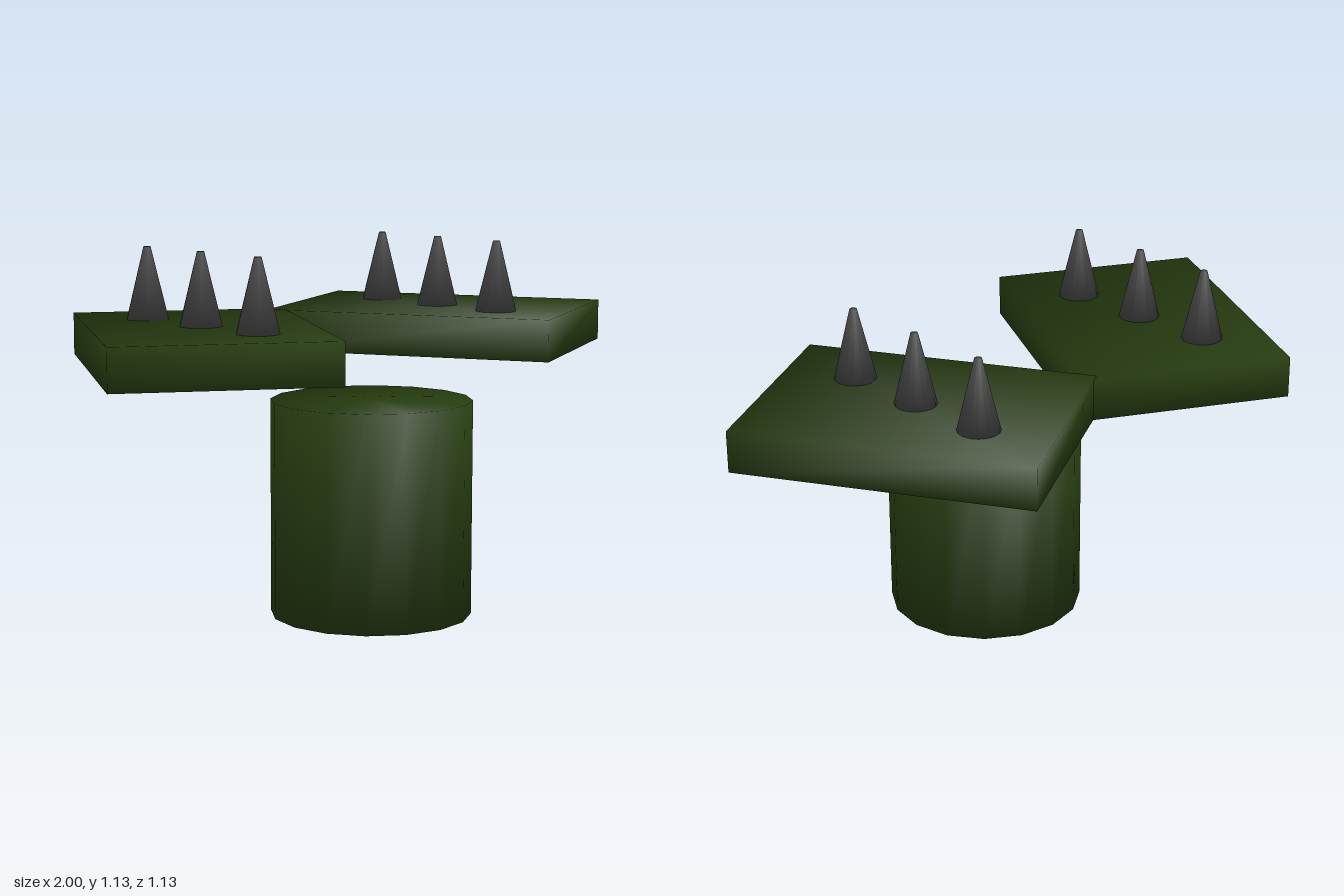
import * as THREE from 'three';

// Rounds the shading by averaging the normals of corners that share a position
function softNormals(geometry) {
  const pos = geometry.attributes.position, nor = geometry.attributes.normal;
  const sums = new Map();
  const key = i => [pos.getX(i), pos.getY(i), pos.getZ(i)].map(v => Math.round(v * 1e4)).join();
  const n = new THREE.Vector3();
  for (let i = 0; i < pos.count; i++) {
    const k = key(i);
    if (!sums.has(k)) sums.set(k, new THREE.Vector3());
    sums.get(k).add(n.fromBufferAttribute(nor, i));
  }
  for (let i = 0; i < pos.count; i++) {
    n.copy(sums.get(key(i))).normalize();
    nor.setXYZ(i, n.x, n.y, n.z);
  }
  return geometry;
}

export function createModel() {
  const green = new THREE.MeshStandardMaterial({ color: 0x263c10 });
  green.name = 'dark green';
  const grey = new THREE.MeshStandardMaterial({ color: 0x474747 });
  grey.name = 'spike grey';

  const model = new THREE.Group();
  model.name = 'model';

  function add(name, geometry, material, x, y, z) {
    const mesh = new THREE.Mesh(geometry, material);
    mesh.name = name;
    mesh.position.set(x, y, z);
    model.add(mesh);
    return mesh;
  }

  // Drum standing in front of the centre
  add('drum', softNormals(new THREE.CylinderGeometry(0.31, 0.31, 0.665, 16)), green, 0, 0.3325, 0.218);

  const plateGeometry = softNormals(new THREE.BoxGeometry(0.67, 0.13, 0.92));
  const spikeGeometry = softNormals(new THREE.CylinderGeometry(0.011, 0.065, 0.223, 16));

  // Two angled floating plates, each with a row of spikes
  for (const [side, s] of [['left', 1], ['right', -1]]) {
    add(side + 'Plate', plateGeometry, green, s * 0.484, 0.842, 0).rotation.y = s * 0.507;
    for (const z of [-0.265, 0, 0.267]) {
      add(side + 'Spike', spikeGeometry, grey, s * 0.486, 1.0175, z);
    }
  }
  return model;
}
